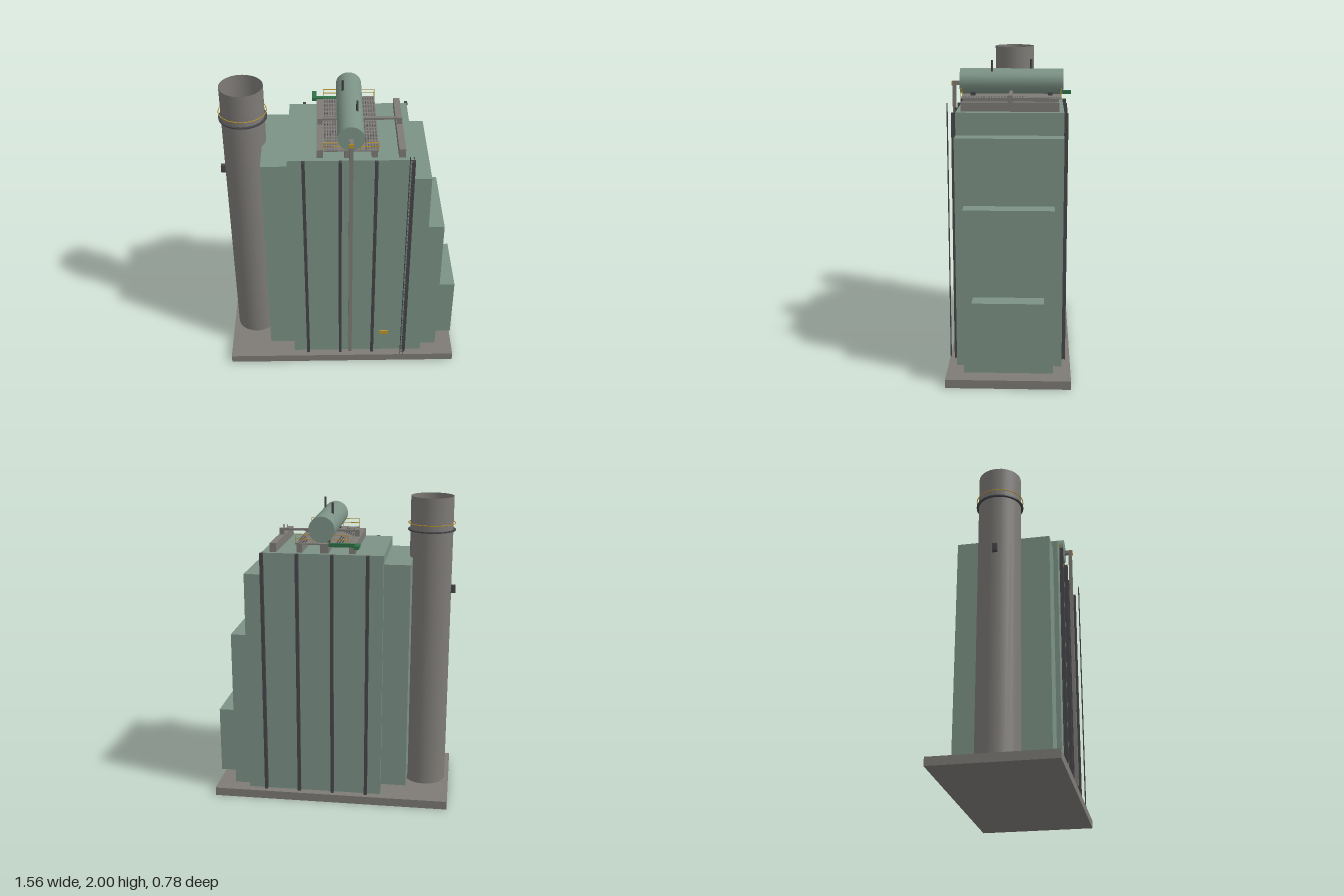
import * as THREE from 'three';
import { mergeGeometries } from 'three/addons/utils/BufferGeometryUtils.js';

const material = (name, color, extra = {}) => {
  const m = new THREE.MeshStandardMaterial({ color, ...extra });
  m.name = name;
  return m;
};

export function createModel() {
  const sage = material('sage casing', 0x7c9286);
  const grey = material('grey steel', 0x7e7b77);
  const dark = material('dark steel', 0x46464a);
  const yellow = material('safety yellow', 0xb8922c);
  const green = material('green pipe', 0x2e7046);
  grey.side = THREE.DoubleSide;

  const model = new THREE.Group();
  model.name = 'heatRecoveryBoiler';

  const add = (name, geometry, mat) => {
    const mesh = new THREE.Mesh(geometry, mat);
    mesh.name = name;
    model.add(mesh);
    return mesh;
  };
  // Box geometry given by its limits on each axis
  const block = (x0, x1, y0, y1, z0, z1) =>
    new THREE.BoxGeometry(x1 - x0, y1 - y0, z1 - z0)
      .translate((x0 + x1) / 2, (y0 + y1) / 2, (z0 + z1) / 2);
  const box = (name, mat, ...limits) => add(name, block(...limits), mat);

  // Foundation and stepped casing
  box('foundation', grey, -0.777, 0.777, 0, 0.055, -0.39, 0.39);
  box('mainCasing', sage, -0.335, 0.437, 0.055, 1.67, -0.335, 0.335);
  box('outletDuct', sage, -0.5, -0.335, 0.115, 1.61, -0.305, 0.305);
  box('upperInletDuct', sage, 0.437, 0.552, 0.055, 1.53, -0.335, 0.335);
  box('middleInletDuct', sage, 0.552, 0.663, 0.055, 1.11, -0.28, 0.28);
  box('lowerInletDuct', sage, 0.663, 0.775, 0.115, 0.557, -0.22, 0.22);

  // I-section columns on the front and back walls
  for (const x of [-0.237, -0.013, 0.209, 0.433]) {
    for (const s of [-1, 1]) {
      const flange = (a, b) => block(x - 0.01, x + 0.01, 0.055, 1.67,
        Math.min(s * a, s * b), Math.max(s * a, s * b));
      const web = block(x - 0.004, x + 0.004, 0.055, 1.67, s * 0.347 - 0.009, s * 0.347 + 0.009);
      add('wallColumn', mergeGeometries([flange(0.335, 0.341), web, flange(0.353, 0.36)]), dark);
    }
  }

  // Chimney with a service ring, a guard rail and a sampling box
  const sx = -0.613;
  add('chimney', new THREE.CylinderGeometry(0.137, 0.137, 1.945, 24, 1, true)
    .translate(sx, 1.0275, 0), grey);
  const ring = new THREE.Shape().absarc(0, 0, 0.152, 0, Math.PI * 2);
  ring.holes.push(new THREE.Path().absarc(0, 0, 0.137, 0, Math.PI * 2, true));
  add('chimneyServiceRing', new THREE.ExtrudeGeometry(ring, { depth: 0.008, bevelEnabled: false, curveSegments: 24 })
    .rotateX(-Math.PI / 2).translate(sx, 1.781, 0), dark);
  add('chimneyGuardRail', new THREE.TorusGeometry(0.15, 0.003, 6, 24)
    .rotateX(Math.PI / 2).translate(sx, 1.828, 0), yellow);
  box('samplingBox', dark, -0.778, -0.748, 1.37, 1.42, -0.015, 0.015);

  // Steam drum, saddles and relief vents
  const dx = 0.053;
  add('steamDrum', new THREE.CylinderGeometry(0.082, 0.082, 0.665, 24)
    .rotateX(Math.PI / 2).translate(dx, 1.822, 0), sage);
  for (const z of [-0.25, 0.25]) {
    box('drumSaddle', dark, dx - 0.045, dx + 0.045, 1.73, 1.757, z - 0.015, z + 0.015);
  }
  for (const [x, z] of [[0.012, -0.125], [0.095, 0.125]]) {
    add('reliefVent', new THREE.CylinderGeometry(0.007, 0.007, 0.075, 10)
      .translate(x, 1.923, z), dark);
  }

  // Headers across the roof and the crossover pipe above them
  for (const [a, b] of [[-0.155, -0.115], [0.013, 0.068], [0.18, 0.216], [0.345, 0.386]]) {
    box('roofHeader', grey, a, b, 1.67, 1.727, -0.305, 0.305);
  }
  box('crossoverPipe', grey, -0.148, 0.381, 1.755, 1.769, -0.01, 0.01);
  for (const x of [-0.133, 0.365]) {
    box('crossoverRiser', grey, x - 0.015, x + 0.015, 1.727, 1.769, -0.015, 0.015);
  }

  // Downcomer on the front wall with its valve tag
  box('downcomer', grey, 0.041, 0.066, 0.09, 1.822, 0.362, 0.385);
  box('downcomerTop', grey, 0.041, 0.066, 1.797, 1.822, 0.33, 0.362);
  box('valveTag', yellow, 0.04, 0.067, 1.792, 1.822, 0.385, 0.39);
  box('wallTag', yellow, 0.262, 0.32, 0.21, 0.24, 0.335, 0.342);

  // Roof platform with rows of drainage openings
  box('platform', grey, -0.113, 0.222, 1.725, 1.733, -0.32, 0.32);
  const openings = [];
  for (const start of [-0.103, 0.145]) {
    for (let i = 0; i < 5; i++) {
      for (let j = 0; j < 38; j++) {
        openings.push(new THREE.PlaneGeometry(0.008, 0.007).rotateX(-Math.PI / 2)
          .translate(start + i * 0.0165, 1.7335, -0.305 + j * 0.0165));
      }
    }
  }
  add('platformOpenings', mergeGeometries(openings), dark);

  // Guard rails at both ends of the platform
  for (const z of [-0.318, 0.318]) {
    for (const y of [1.76, 1.786]) {
      box('platformRail', yellow, -0.113, 0.222, y - 0.002, y + 0.002, z - 0.002, z + 0.002);
    }
    for (const x of [-0.111, 0, 0.11, 0.22]) {
      box('railPost', yellow, x - 0.002, x + 0.002, 1.73, 1.788, z - 0.002, z + 0.002);
    }
  }

  // Feedwater pipe leaving at the back
  box('feedwaterPipe', green, -0.185, 0.01, 1.714, 1.737, -0.322, -0.297);
  box('feedwaterInlet', green, -0.185, -0.157, 1.714, 1.737, -0.39, -0.322);

  // Access ladder on the front wall
  const ladder = [0.406, 0.428].map(x => block(x - 0.0025, x + 0.0025, 0.055, 1.725, 0.383, 0.388));
  for (let y = 0.08; y < 1.72; y += 0.03) {
    ladder.push(block(0.406, 0.428, y - 0.002, y + 0.002, 0.384, 0.387));
  }
  add('ladder', mergeGeometries(ladder), dark);

  return model;
}
